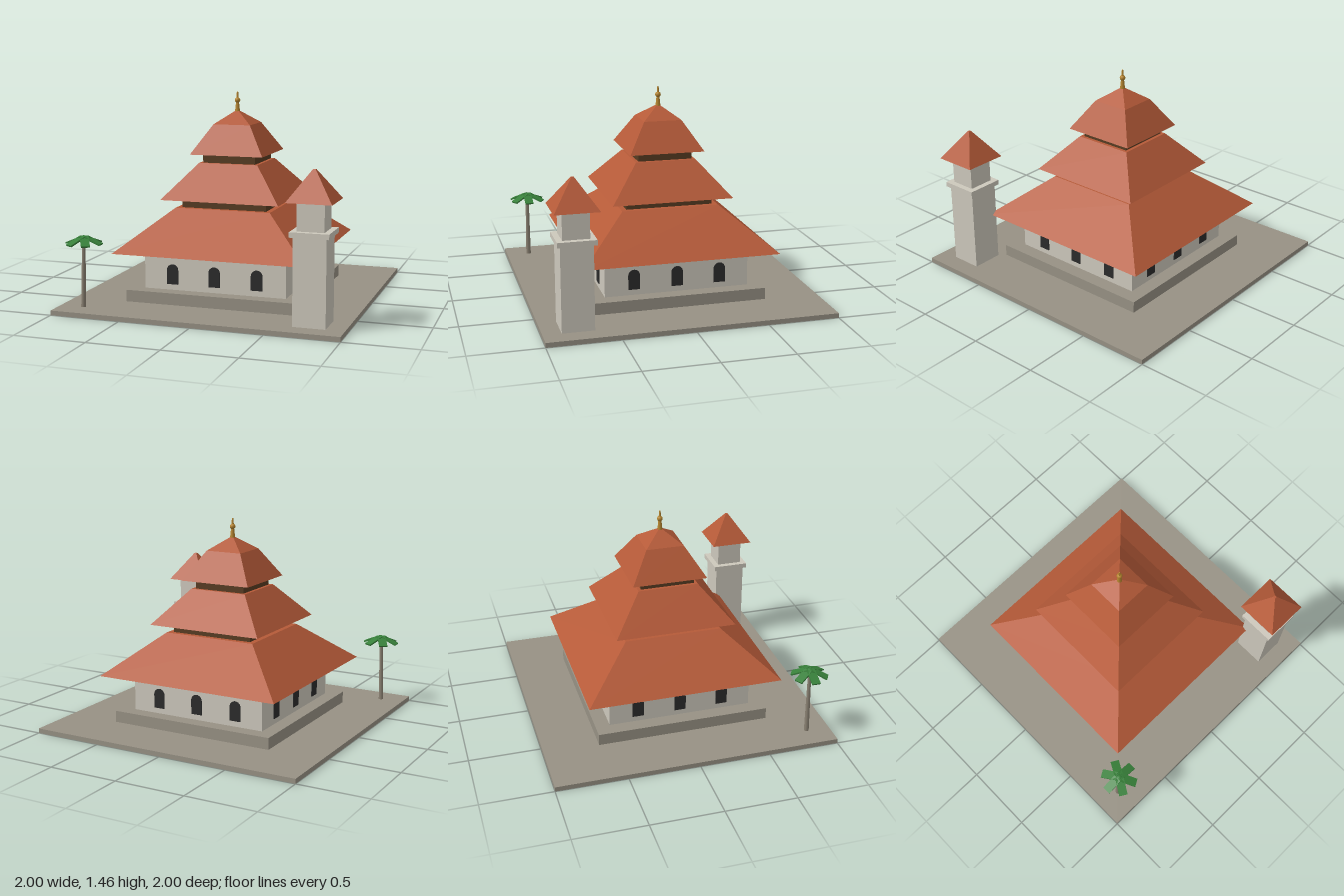
import * as THREE from 'three';

const mat = (name, color, flatShading = false) => {
  const m = new THREE.MeshStandardMaterial({ color, flatShading });
  m.name = name;
  return m;
};

export function createModel() {
  const stone = mat('paving stone', 0x979184);
  const plaster = mat('plaster', 0xcdc8bc);
  const tile = mat('roof tile', 0xb55a38);
  const wood = mat('dark wood', 0x573c22);
  const opening = mat('dark window', 0x2b2b2b);
  const gold = mat('gold', 0xb5852f);
  const bark = mat('bark', 0x8a8172);
  const leaf = mat('palm leaf', 0x37803a);

  const model = new THREE.Group();
  model.name = 'tieredRoofHall';

  const add = (name, geometry, material, parent = model) => {
    const mesh = new THREE.Mesh(geometry, material);
    mesh.name = name;
    parent.add(mesh);
    return mesh;
  };
  // square block with half width h, from y0 to y1
  const block = (name, h, y0, y1, material, parent) => {
    const m = add(name, new THREE.BoxGeometry(2 * h, y1 - y0, 2 * h), material, parent);
    m.position.y = (y0 + y1) / 2;
    return m;
  };
  // square frustum roof, half widths h0 (eaves) and h1 (top)
  const roof = (name, h0, h1, y0, y1, parent) => {
    const g = new THREE.CylinderGeometry(h1 * Math.SQRT2, h0 * Math.SQRT2, y1 - y0, 4)
      .rotateY(Math.PI / 4).toNonIndexed();
    g.computeVertexNormals();
    const m = add(name, g, tile, parent);
    m.position.y = (y0 + y1) / 2;
    return m;
  };

  // Hall
  block('ground', 1, 0, 0.033, stone);
  block('plinth', 0.612, 0.033, 0.115, stone);
  block('walls', 0.511, 0.115, 0.382, plaster);
  roof('lowerRoof', 0.687, 0.345, 0.38, 0.665);
  block('lowerRoofBand', 0.308, 0.66, 0.735, wood);
  roof('middleRoof', 0.428, 0.215, 0.728, 0.972);
  block('upperRoofBand', 0.192, 0.965, 1.04, wood);
  roof('upperRoof', 0.266, 0.135, 1.034, 1.24);
  roof('roofCap', 0.135, 0.006, 1.24, 1.334);

  // Arched windows, three per side
  const arch = new THREE.Shape();
  arch.moveTo(-0.041, 0.155);
  arch.lineTo(0.041, 0.155);
  arch.lineTo(0.041, 0.255);
  arch.absarc(0, 0.255, 0.041, 0, Math.PI, false);
  arch.closePath();
  const archGeo = new THREE.ExtrudeGeometry(arch, { depth: 0.008, bevelEnabled: false, curveSegments: 8 });
  for (let side = 0; side < 4; side++) {
    const wall = new THREE.Group();
    wall.name = 'windowRow';
    wall.rotation.y = side * Math.PI / 2;
    model.add(wall);
    for (const x of [-0.305, 0, 0.305]) add('window', archGeo, opening, wall).position.set(x, 0, 0.509);
  }

  // Finial
  const finial = new THREE.Group();
  finial.name = 'finial';
  model.add(finial);
  add('finialStem', new THREE.CylinderGeometry(0.011, 0.019, 0.07, 12), gold, finial).position.y = 1.355;
  add('finialBall', new THREE.SphereGeometry(0.02, 14, 10), gold, finial).position.y = 1.405;
  add('finialTip', new THREE.CylinderGeometry(0.005, 0.009, 0.045, 10), gold, finial).position.y = 1.441;

  // Tower on the front left corner
  const tower = new THREE.Group();
  tower.name = 'tower';
  tower.position.set(0.764, 0, 0.764);
  model.add(tower);
  block('towerShaft', 0.11, 0.033, 0.617, plaster, tower);
  block('towerLedge', 0.131, 0.617, 0.652, plaster, tower);
  block('towerTop', 0.091, 0.652, 0.842, plaster, tower);
  roof('towerRoof', 0.152, 0.009, 0.84, 1.042, tower);

  // Palm tree
  const palm = new THREE.Group();
  palm.name = 'palm';
  palm.position.set(-0.833, 0.033, 0.835);
  model.add(palm);
  const trunk = add('trunk', new THREE.CylinderGeometry(0.012, 0.018, 0.475, 8).translate(0, 0.2375, 0), bark, palm);
  trunk.rotation.z = -0.025;
  const crown = new THREE.Group();
  crown.name = 'palmCrown';
  crown.position.set(0.014, 0.472, 0);
  palm.add(crown);
  add('crownHeart', new THREE.SphereGeometry(0.026, 10, 8), leaf, crown).scale.y = 0.9;
  // drooping fronds as tilted thin slabs
  const frondGeo = new THREE.BoxGeometry(0.12, 0.011, 0.06).translate(0.06, 0, 0)
    .rotateZ(-0.4).translate(0.014, 0.016, 0);
  for (let i = 0; i < 6; i++) add('frond', frondGeo, leaf, crown).rotation.y = i * Math.PI / 3;

  return model;
}
